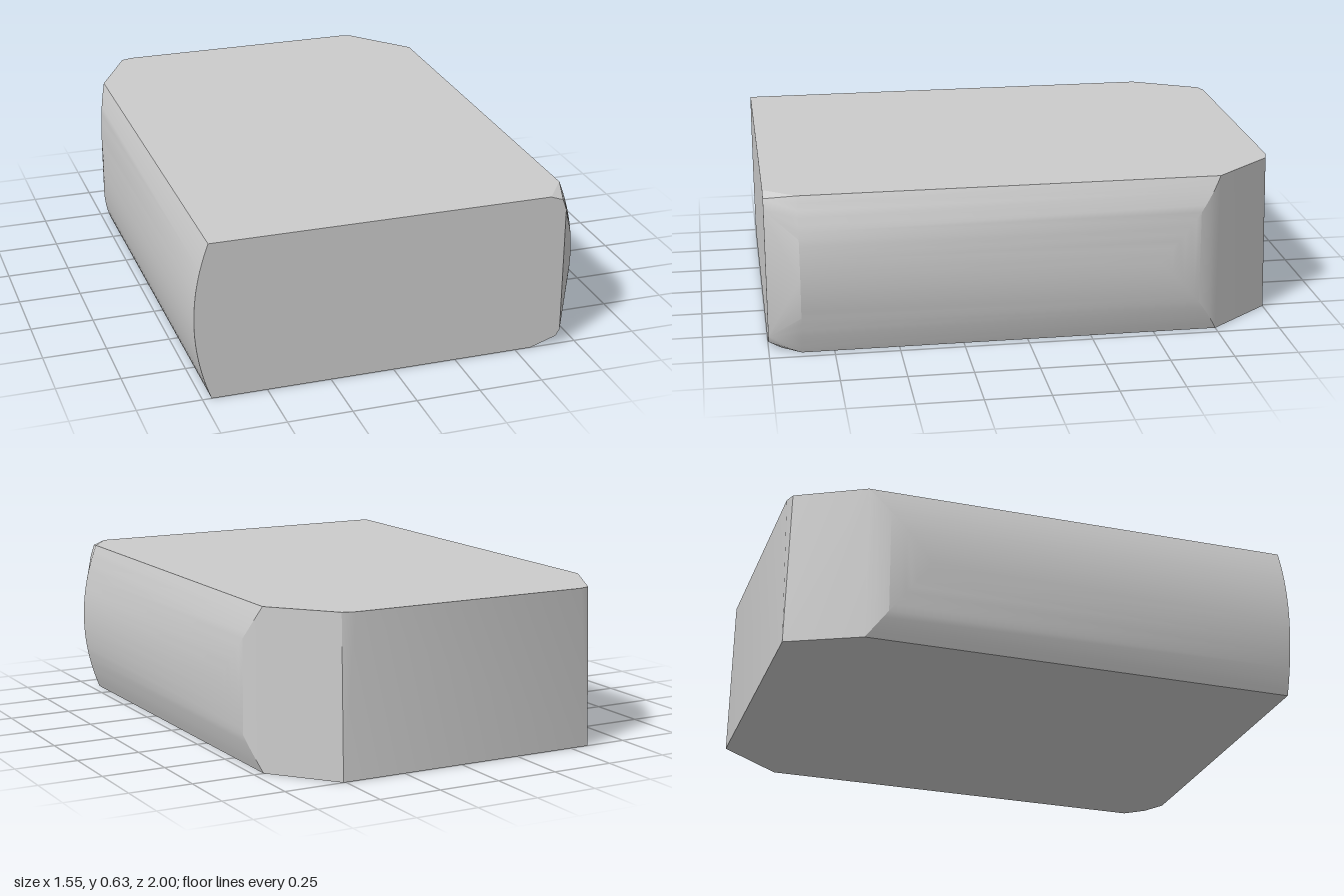
import * as THREE from 'three';
import { ConvexGeometry } from 'three/addons/geometries/ConvexGeometry.js';
import { toCreasedNormals } from 'three/addons/utils/BufferGeometryUtils.js';

const HALF = 0.315; // half the block height
const STEPS = 12;

// Bulging flank: plan curve from the rear chamfer into the straight side,
// each plan point lifted to the two heights where the bulge reaches it.
function flank(side, edgeX, edgeZ, midX, midZ, controlZ, frontZ) {
  const curve = new THREE.QuadraticBezierCurve(
    new THREE.Vector2(edgeX, edgeZ),
    new THREE.Vector2(midX, controlZ),
    new THREE.Vector2(midX, midZ)
  );
  const points = [];
  for (let i = 0; i <= STEPS; i++) {
    const p = curve.getPoint(i / STEPS);
    const dy = HALF * Math.sqrt(Math.max(0, (midX - p.x) / (midX - edgeX)));
    for (const y of dy > 0 ? [HALF - dy, HALF + dy] : [HALF]) {
      points.push(new THREE.Vector3(side * p.x, y, p.y));
      points.push(new THREE.Vector3(side * p.x, y, frontZ));
    }
  }
  return points;
}

export function createModel() {
  const group = new THREE.Group();
  group.name = 'block';

  const points = [
    ...flank(-1, 0.715, -0.72, 0.775, -0.48, -0.595, 1),
    ...flank(1, 0.71, -0.75, 0.775, -0.5, -0.67, 0.875),
  ];

  // Worn front corner on the left, then the chamfered rear corners
  const corners = [
    [0.62, 0.63, 1], [0.67, 0.612, 1], [0.685, 0.57, 1],
    [0.685, 0.06, 1], [0.67, 0.035, 1], [0.565, 0, 1], [0.65, 0, 0.95],
    [0.51, 0, -1], [0.46, 0.63, -1], [0.51, 0.63, -0.985],
    [-0.58, 0, -1], [-0.53, 0.63, -1], [-0.573, 0.63, -0.985],
  ];
  for (const c of corners) points.push(new THREE.Vector3(...c));

  const body = new THREE.Mesh(
    toCreasedNormals(new ConvexGeometry(points), 0.4),
    new THREE.MeshStandardMaterial({ color: 0xcccccc })
  );
  body.name = 'body';
  group.add(body);
  return group;
}
